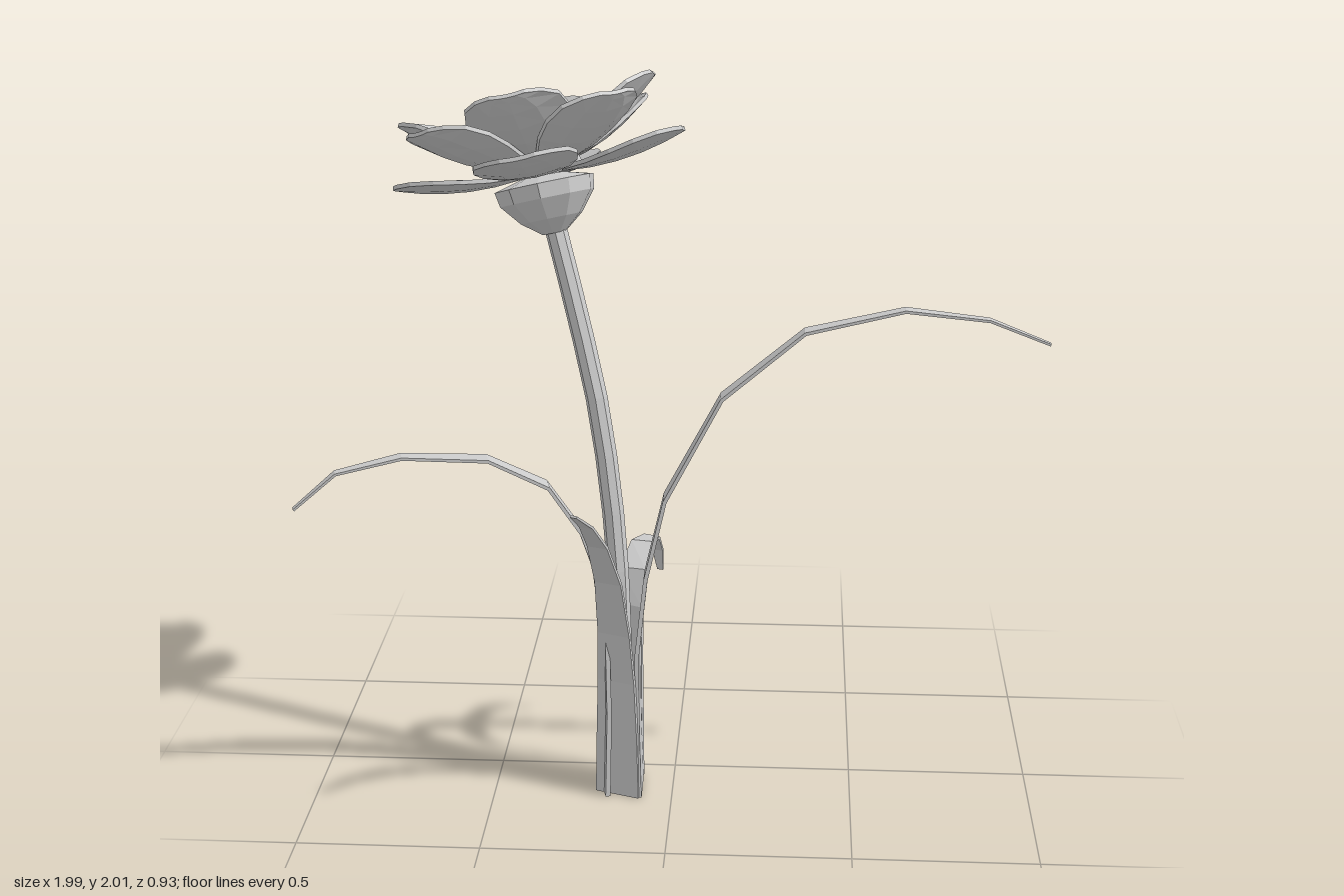
import * as THREE from 'three';

const material = new THREE.MeshStandardMaterial({ color: 0xcccccc, flatShading: true, side: THREE.DoubleSide });
const V = (x, y, z) => new THREE.Vector3(x, y, z);

function part(name, geometry) {
  const mesh = new THREE.Mesh(geometry, material);
  mesh.name = name;
  return mesh;
}

// Closed skin over rings; each ring lists its upper edge, then its lower edge backwards.
function loft(rings) {
  const m = rings[0].length, n = m / 2, last = (rings.length - 1) * m;
  const index = [];
  for (let i = 0; i < rings.length - 1; i++) {
    for (let j = 0; j < m; j++) {
      const a = i * m + j, b = i * m + (j + 1) % m;
      index.push(a, b, a + m, b, b + m, a + m);
    }
  }
  for (let k = 0; k < n - 1; k++) {
    const p = k, q = k + 1, r = m - 2 - k, s = m - 1 - k;
    index.push(p, r, q, p, s, r);
    index.push(last + p, last + q, last + r, last + p, last + r, last + s);
  }
  const geometry = new THREE.BufferGeometry().setFromPoints(rings.flat());
  geometry.setIndex(index);
  geometry.computeVertexNormals();
  return geometry;
}

// Cupped petal pointing along +x: rows of [distance, half width].
function petalGeometry(cup) {
  const rows = [[0.06, 0.05], [0.13, 0.095], [0.2, 0.125], [0.27, 0.137], [0.335, 0.124], [0.378, 0.086], [0.397, 0.045]];
  const across = [-1, -0.5, 0, 0.5, 1];
  return loft(rows.map(([r, w]) => {
    const sag = -0.7 * (r - 0.06) * (0.397 - r);
    const edge = (drop) => across.map((s) => V(r, sag + cup * (s * w / 0.137) ** 2 - drop, s * w));
    return [...edge(0), ...edge(0.011).reverse()];
  }));
}

// Flat tapering blade following a path, its outer face turned towards "out" at the foot.
function leafGeometry(points, out, halfWidth, taper) {
  const curve = new THREE.CatmullRomCurve3(points.map((p) => V(...p)), false, 'centripetal');
  const side0 = V(0, 1, 0).cross(out.clone().normalize().negate());
  const rings = points.map((p, i) => {
    const t = i / (points.length - 1);
    const c = V(...p), T = curve.getTangent(t);
    const S = side0.clone().addScaledVector(T, -side0.dot(T)).normalize();
    const U = S.clone().cross(T);
    const w = THREE.MathUtils.lerp(halfWidth, 0.009, t ** taper);
    const h = 0.007 - 0.004 * t;
    const at = (s, u) => c.clone().addScaledVector(S, s).addScaledVector(U, u);
    return [at(-w, h), at(w, h), at(w, -h), at(-w, -h)];
  });
  return loft(rings);
}

export function createModel() {
  const group = new THREE.Group();

  // Stem
  const stemPath = new THREE.CatmullRomCurve3([
    V(-0.145, 0, 0.11), V(-0.145, 0.4, 0.108), V(-0.16, 0.75, 0.088),
    V(-0.205, 1.1, 0.05), V(-0.265, 1.36, 0.005), V(-0.327, 1.6, -0.035),
  ]);
  group.add(part('stem', new THREE.TubeGeometry(stemPath, 10, 0.03, 8, false)));

  // Leaves: outward direction, half width at the foot, taper, path
  const leaves = {
    leftLeaf: [V(1, 0, -0.02), 0.061, 0.9, [
      [-0.092, 0, 0.14], [-0.097, 0.22, 0.138], [-0.097, 0.43, 0.137], [-0.073, 0.65, 0.136], [-0.02, 0.88, 0.135],
      [0.132, 1.17, 0.135], [0.35, 1.355, 0.135], [0.61, 1.417, 0.134], [0.83, 1.393, 0.133], [0.99, 1.33, 0.133]]],
    rightLeaf: [V(-1, 0, 0.25), 0.06, 1, [
      [-0.193, 0, 0.138], [-0.186, 0.25, 0.139], [-0.188, 0.48, 0.14], [-0.208, 0.66, 0.145], [-0.25, 0.79, 0.155],
      [-0.335, 0.925, 0.175], [-0.49, 1.012, 0.215], [-0.71, 1.033, 0.27], [-0.88, 0.998, 0.31], [-0.99, 0.905, 0.34]]],
    frontLeaf: [V(-0.35, 0, 1), 0.065, 1.35, [
      [-0.152, 0, 0.178], [-0.152, 0.18, 0.176], [-0.153, 0.35, 0.178], [-0.157, 0.5, 0.195], [-0.168, 0.67, 0.236],
      [-0.19, 0.8, 0.297], [-0.212, 0.885, 0.37], [-0.235, 0.95, 0.465]]],
    backLeaf: [V(0.4, 0, -1), 0.061, 1.25, [
      [-0.145, 0, 0.042], [-0.142, 0.2, 0.042], [-0.138, 0.38, 0.042], [-0.13, 0.52, 0.036], [-0.118, 0.615, 0.005],
      [-0.098, 0.662, -0.08], [-0.077, 0.645, -0.165], [-0.062, 0.59, -0.203], [-0.055, 0.525, -0.21]]],
  };
  for (const [name, [out, halfWidth, taper, points]] of Object.entries(leaves)) {
    group.add(part(name, leafGeometry(points, out, halfWidth, taper)));
  }

  // Flower head, tilted back and to one side
  const flower = new THREE.Group();
  flower.name = 'flowerHead';
  flower.position.set(-0.325, 1.57, -0.03);
  flower.quaternion.setFromUnitVectors(V(0, 1, 0), V(-0.225, 1, -0.225).normalize());
  group.add(flower);

  const calyxProfile = [[0, 0], [0.032, 0], [0.085, 0.04], [0.13, 0.095], [0.137, 0.135], [0.06, 0.155], [0, 0.155]];
  flower.add(part('calyx', new THREE.LatheGeometry(calyxProfile.map(([r, y]) => new THREE.Vector2(r, y)), 10)));

  const centre = part('flowerCentre', new THREE.SphereGeometry(0.112, 12, 5, 0, Math.PI * 2, 0, Math.PI / 2));
  centre.scale.y = 0.7;
  centre.position.y = 0.17;
  flower.add(centre);

  // Three whorls of four petals: [name, lift in degrees, turn in degrees, cup, height]
  const whorls = [
    ['innerPetal', 30, 0, 0.04, 0.165],
    ['middlePetal', 24, 45, 0.035, 0.16],
    ['outerPetal', 6.5, 0, 0.025, 0.16],
  ];
  for (const [name, lift, turn, cup, height] of whorls) {
    const geometry = petalGeometry(cup);
    for (let i = 0; i < 4; i++) {
      const petal = part(name, geometry);
      petal.rotation.order = 'YZX';
      petal.rotation.set(0, THREE.MathUtils.degToRad(turn + i * 90), THREE.MathUtils.degToRad(lift));
      petal.position.y = height;
      flower.add(petal);
    }
  }
  return group;
}
